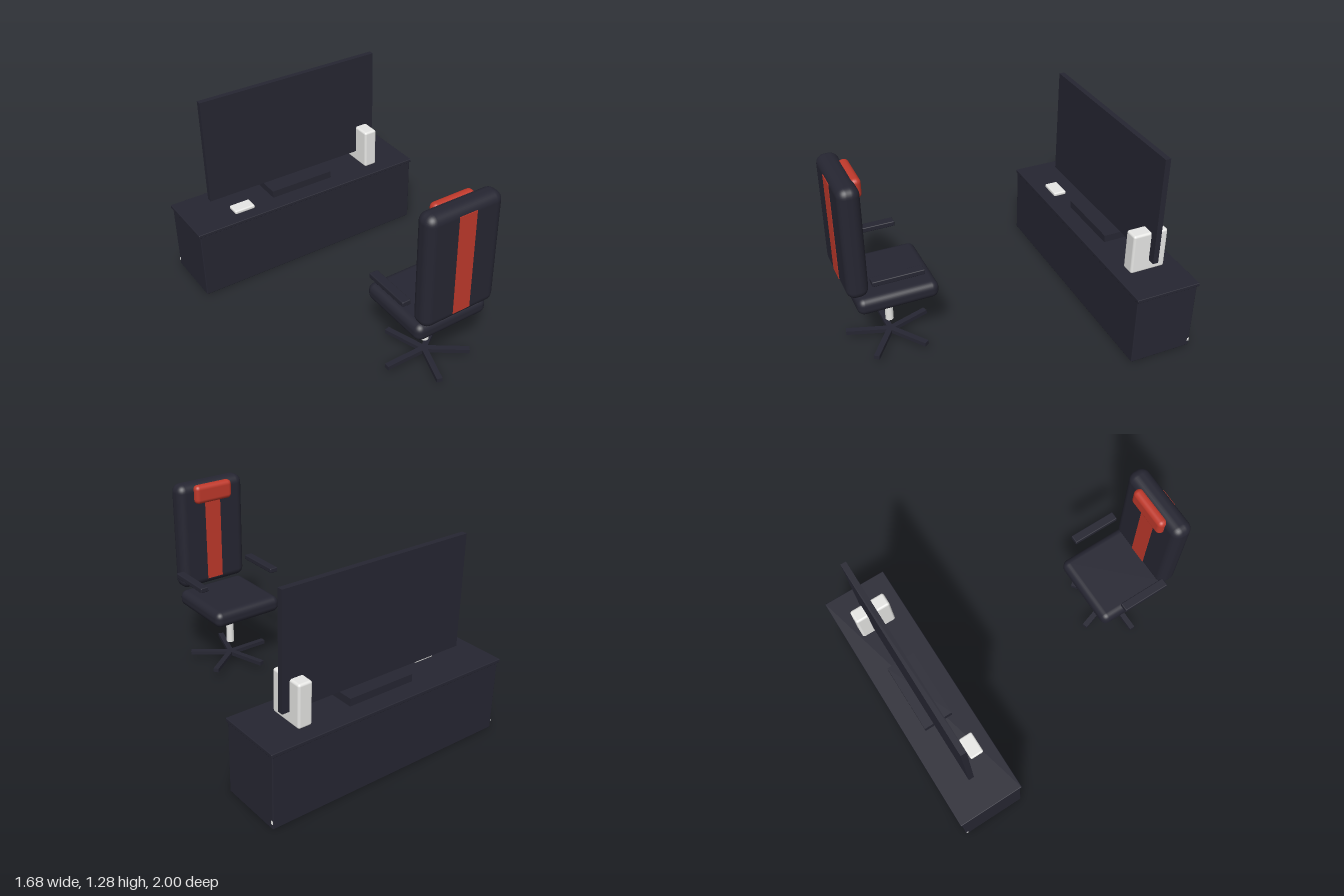
import * as THREE from 'three';
import { RoundedBoxGeometry } from 'three/addons/geometries/RoundedBoxGeometry.js';

const material = (name, color) => {
  const m = new THREE.MeshStandardMaterial({ color });
  m.name = name;
  return m;
};

export function createModel() {
  const dark = material('charcoal', 0x262632);
  const red = material('red', 0xc0392b);
  const white = material('offWhite', 0xe8e8e6);

  const model = new THREE.Group();
  model.name = 'deskAndChair';
  const desk = new THREE.Group();
  desk.name = 'desk';
  const chair = new THREE.Group();
  chair.name = 'chair';
  model.add(desk, chair);

  // Box given by its extents on each axis, optionally with rounded edges
  function box(parent, name, mat, [x0, x1], [y0, y1], [z0, z1], radius = 0) {
    const size = [x1 - x0, y1 - y0, z1 - z0];
    const geometry = radius
      ? new RoundedBoxGeometry(...size, 4, radius)
      : new THREE.BoxGeometry(...size);
    const mesh = new THREE.Mesh(geometry, mat);
    mesh.name = name;
    mesh.position.set((x0 + x1) / 2, (y0 + y1) / 2, (z0 + z1) / 2);
    parent.add(mesh);
    return mesh;
  }

  // Cabinet, worktop and the thin rail that peeps out at its rear ends
  box(desk, 'cabinet', dark, [-0.83, 0.83], [0, 0.465], [-0.99, -0.575], 0.006);
  box(desk, 'worktop', dark, [-0.84, 0.84], [0.463, 0.486], [-1, -0.57], 0.004);
  box(desk, 'rearRail', white, [-0.832, 0.832], [0.035, 0.055], [-0.988, -0.975]);

  // Screen on its low plinth
  box(desk, 'screenStand', dark, [-0.23, 0.23], [0.485, 0.535], [-0.88, -0.69]);
  box(desk, 'screen', dark, [-0.645, 0.645], [0.56, 1.28], [-0.82, -0.784]);

  // White devices on the worktop
  box(desk, 'tower', white, [0.505, 0.597], [0.485, 0.757], [-0.9, -0.665], 0.015);
  box(desk, 'smallDevice', white, [-0.535, -0.39], [0.485, 0.512], [-0.74, -0.65], 0.01);

  // Seat, backrest and red padding
  box(chair, 'seat', dark, [-0.25, 0.25], [0.41, 0.52], [0.44, 0.945], 0.045);
  box(chair, 'backrest', dark, [-0.25, 0.25], [0.54, 1.275], [0.865, 0.997], 0.055);
  box(chair, 'backStripe', red, [-0.058, 0.058], [0.585, 1.23], [0.861, 1]);
  box(chair, 'headPillow', red, [-0.14, 0.14], [1.14, 1.267], [0.83, 0.895], 0.03);

  // Armrests
  for (const [name, side] of [['leftArmrest', 1], ['rightArmrest', -1]]) {
    const arm = box(chair, name, dark, [0.248, 0.305], [0.653, 0.686], [0.548, 0.866], 0.006);
    arm.position.x *= side;
  }

  // Gas column
  const column = new THREE.Mesh(new THREE.CylinderGeometry(0.026, 0.026, 0.27, 20), white);
  column.name = 'column';
  column.position.set(0, 0.285, 0.697);
  chair.add(column);

  // Five-legged star base, one leg pointing to -x
  const base = new THREE.Group();
  base.name = 'starBase';
  base.position.set(0, 0.06, 0.697);
  for (let i = 0; i < 5; i++) {
    const geometry = new THREE.BoxGeometry(0.278, 0.027, 0.036).translate(0.139, 0, 0);
    const leg = new THREE.Mesh(geometry, dark);
    leg.name = 'baseLeg';
    leg.rotation.y = Math.PI + (i * Math.PI * 2) / 5;
    base.add(leg);
  }
  chair.add(base);

  return model;
}
